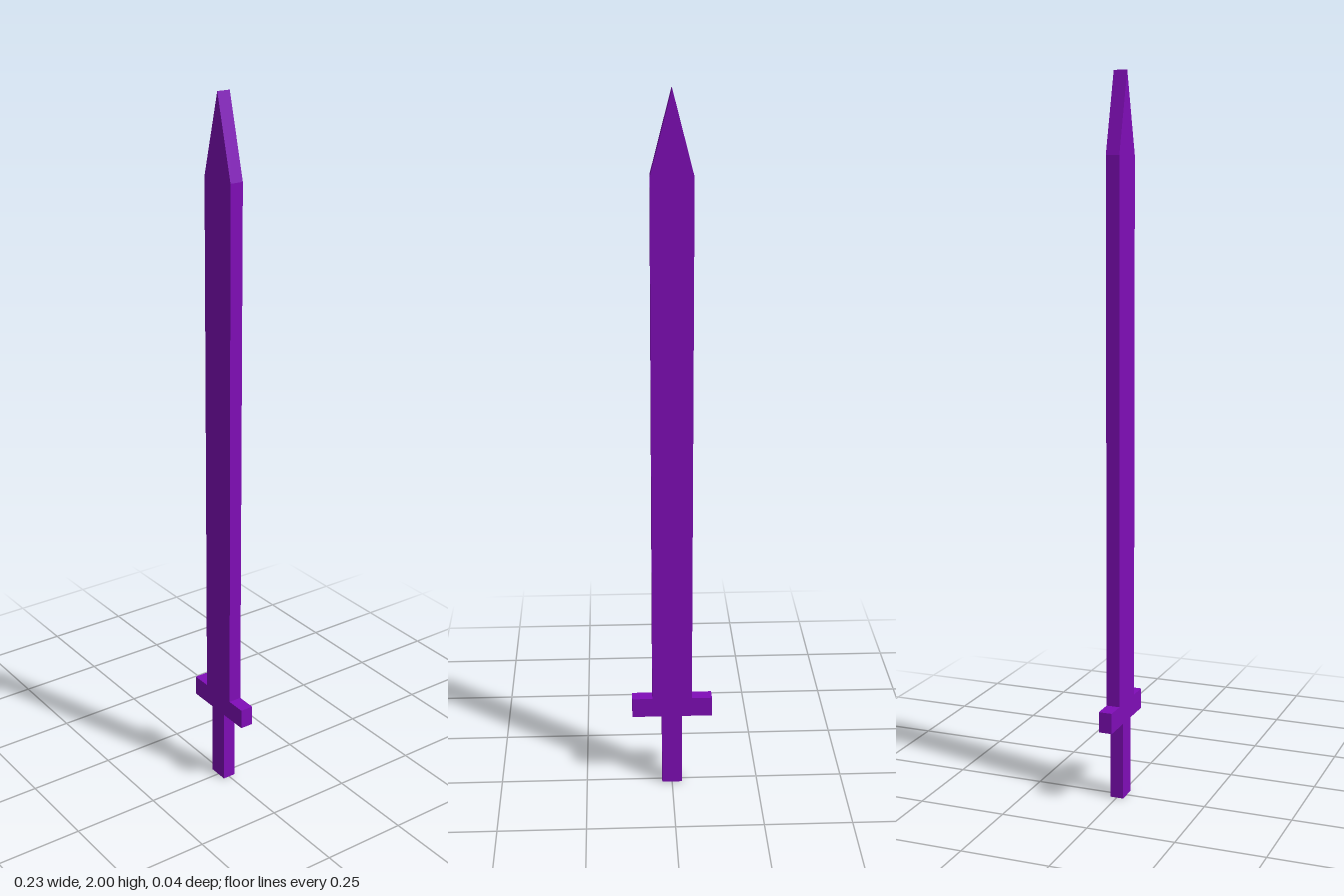
import * as THREE from 'three';

const DEPTH = 0.038;

export function createModel() {
  const sword = new THREE.Group();
  sword.name = 'sword';
  const material = new THREE.MeshStandardMaterial({ color: 0x800db8, flatShading: true });

  const add = (name, geometry, y = 0) => {
    const mesh = new THREE.Mesh(geometry, material);
    mesh.name = name;
    mesh.position.y = y;
    sword.add(mesh);
  };

  // Handle and crossguard: plain bars of the same thickness
  add('handle', new THREE.BoxGeometry(0.058, 0.22, DEPTH), 0.11);
  add('crossguard', new THREE.BoxGeometry(0.23, 0.058, DEPTH), 0.249);

  // Blade: flat slab ending in a pointed tip
  const outline = new THREE.Shape([
    [-0.057, 0.278], [0.057, 0.278], [0.057, 1.78], [0, 2], [-0.057, 1.78],
  ].map(([x, y]) => new THREE.Vector2(x, y)));
  const blade = new THREE.ExtrudeGeometry(outline, { depth: DEPTH, bevelEnabled: false });
  blade.translate(0, 0, -DEPTH / 2);
  add('blade', blade);

  return sword;
}
